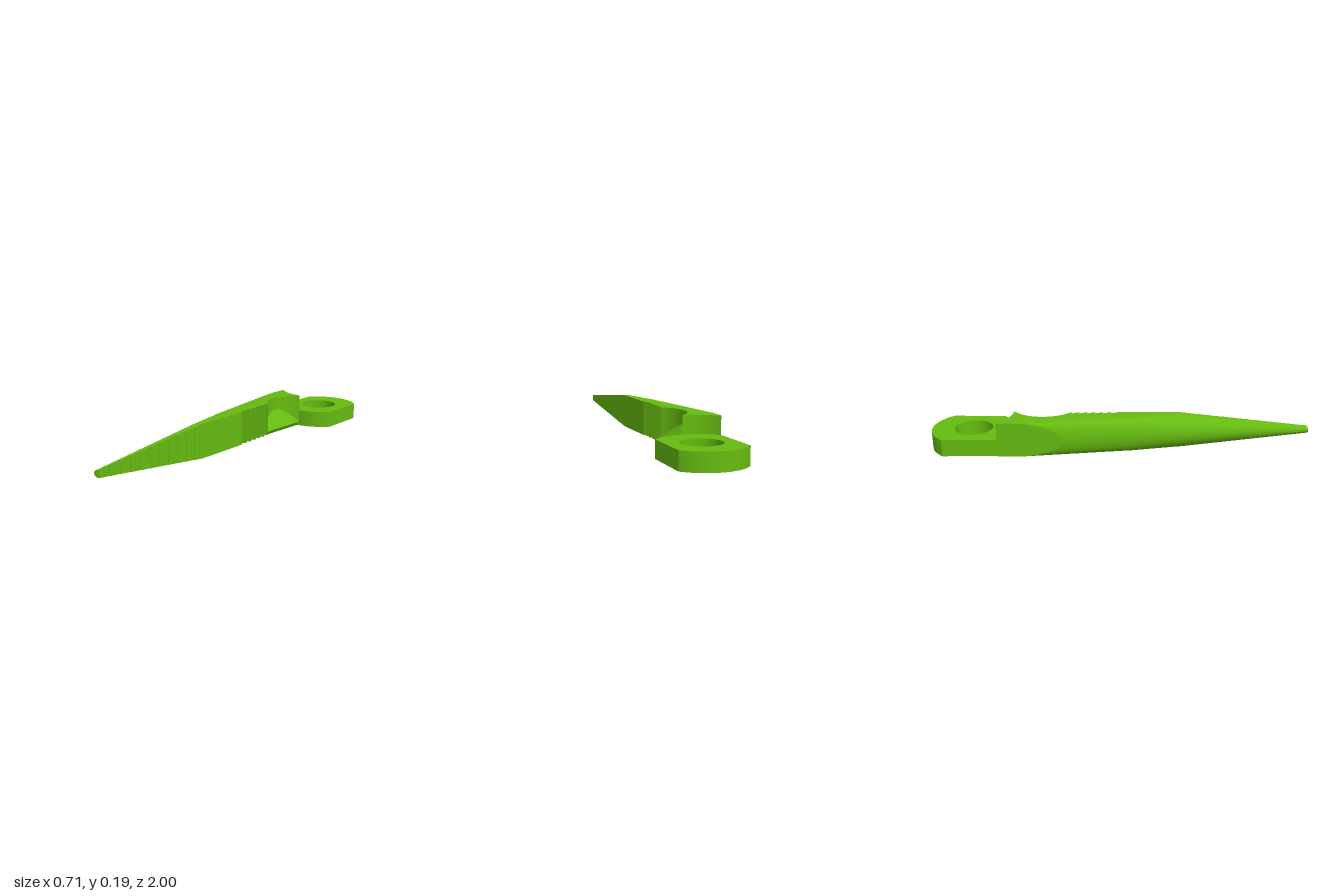
import * as THREE from 'three';
import { toCreasedNormals } from 'three/addons/utils/BufferGeometryUtils.js';

const RING = { x: 0.145, z: -0.772, r: 0.228, hole: 0.105 };
const SCOOP = { x: 0.16, z: -0.366, r: 0.196 };
const START = -0.67, JOINT = -0.551, GRIP = -0.25, PLAIN = 0, TAPER = 0.32, FINE = 0.38, TIP = 1;
const { lerp, degToRad, mapLinear } = THREE.MathUtils;

// Flat pivot ring: a disc with two sides trimmed and a round hole
function ringGeometry() {
  const s = new THREE.Shape();
  s.absarc(RING.x, -RING.z, RING.r, degToRad(24.2), degToRad(125.8), false);
  s.absarc(RING.x, -RING.z, RING.r, degToRad(206), degToRad(305.8), false);
  s.closePath();
  const hole = new THREE.Path();
  hole.absarc(RING.x, -RING.z, RING.hole, 0, Math.PI * 2, true);
  s.holes.push(hole);
  const g = new THREE.ExtrudeGeometry(s, { depth: 0.095, bevelEnabled: false, curveSegments: 32 });
  g.rotateX(-Math.PI / 2);
  return toCreasedNormals(g, 0.5);
}

// Inner edge of the arm, before teeth are added
function innerEdge(z) {
  if (z <= JOINT) return RING.x - Math.sqrt(Math.max(0, RING.r ** 2 - (z - RING.z) ** 2));
  if (z <= GRIP) return mapLinear(z, JOINT, GRIP, 0.088, 0);
  if (z <= PLAIN) return mapLinear(z, GRIP, PLAIN, 0, -0.062);
  if (z <= FINE) return mapLinear(z, PLAIN, FINE, -0.062, -0.16);
  return mapLinear(z, FINE, TIP, -0.16, -0.33);
}

// Top line where the rounded back begins
function creaseX(z) {
  if (z < 0.05) return mapLinear(z, -0.6, 0.05, -0.09, -0.16);
  return z < TAPER ? -0.16 : mapLinear(z, TAPER, TIP, -0.16, -0.332);
}

// One closed cross-section of the arm, running up the back and down the inner face
function section(z, xr, scooped) {
  const half = z < TAPER ? 0.095 : mapLinear(z, TAPER, TIP, 0.095, 0.02);
  const flat = -0.065 - 0.271 * (z - START);
  const round = -0.16 - 0.15 * (z + 0.32);
  const crease = creaseX(z);
  const pts = [];
  for (let i = 0; i <= 20; i++) {
    const a = (i / 20 - 0.5) * Math.PI;
    const x = Math.max(flat, crease - (crease - round) * Math.cos(a));
    pts.push(new THREE.Vector3(Math.min(x, xr), 0.095 + half * Math.sin(a), z));
  }
  let wall = xr;
  if (scooped) wall = Math.min(xr, SCOOP.x - Math.sqrt(Math.max(0, SCOOP.r ** 2 - (z - SCOOP.z) ** 2)));
  const ledge = Math.max(0.022, 0.095 - half);
  pts.push(
    new THREE.Vector3(wall, 0.095 + half, z),
    new THREE.Vector3(wall, ledge + 1.2 * (xr - wall), z),
    new THREE.Vector3(xr, ledge, z),
    new THREE.Vector3(xr - (scooped ? 0.014 : 0), 0.095 - half, z));
  return pts;
}

function armGeometry() {
  const rows = [];
  const add = (z, inset = 0, scooped = false) => rows.push(section(z, innerEdge(z) - inset, scooped));
  const span = (from, to, n, scooped) => {
    for (let i = 0; i <= n; i++) add(lerp(from, to, i / n), 0, scooped);
  };
  // Saw teeth: a slope outwards followed by a square step inwards
  const teeth = (from, to, n, depth) => {
    for (let i = 0; i < n; i++) {
      add(lerp(from, to, i / n), depth);
      add(lerp(from, to, (i + 1) / n));
    }
  };
  span(START, JOINT, 14, false);
  span(JOINT, GRIP, 28, true);
  add(GRIP);
  teeth(GRIP, PLAIN, 6, 0.02);
  span(PLAIN, TAPER, 6, false);
  add(FINE);
  teeth(FINE, TIP, 10, 0.003);

  const pos = [];
  const tri = (a, b, c) => {
    const area = b.clone().sub(a).cross(c.clone().sub(a)).length();
    if (area > 1e-9) for (const p of [a, b, c]) pos.push(p.x, p.y, p.z);
  };
  const n = rows[0].length;
  for (let i = 0; i < rows.length - 1; i++) {
    for (let j = 0; j < n; j++) {
      const k = (j + 1) % n, p = rows[i], q = rows[i + 1];
      tri(p[j], q[j], q[k]);
      tri(p[j], q[k], p[k]);
    }
  }
  const end = rows[rows.length - 1];
  for (let j = 1; j < n - 1; j++) tri(end[0], end[j + 1], end[j]);
  const g = new THREE.BufferGeometry();
  g.setAttribute('position', new THREE.Float32BufferAttribute(pos, 3));
  return toCreasedNormals(g, 0.4);
}

export function createModel() {
  const group = new THREE.Group();
  group.name = 'plierHalf';
  const material = new THREE.MeshStandardMaterial({ color: 0x66bb11 });
  const parts = { pivotRing: ringGeometry(), toothedArm: armGeometry() };
  for (const [name, geometry] of Object.entries(parts)) {
    const mesh = new THREE.Mesh(geometry, material);
    mesh.name = name;
    group.add(mesh);
  }
  return group;
}
